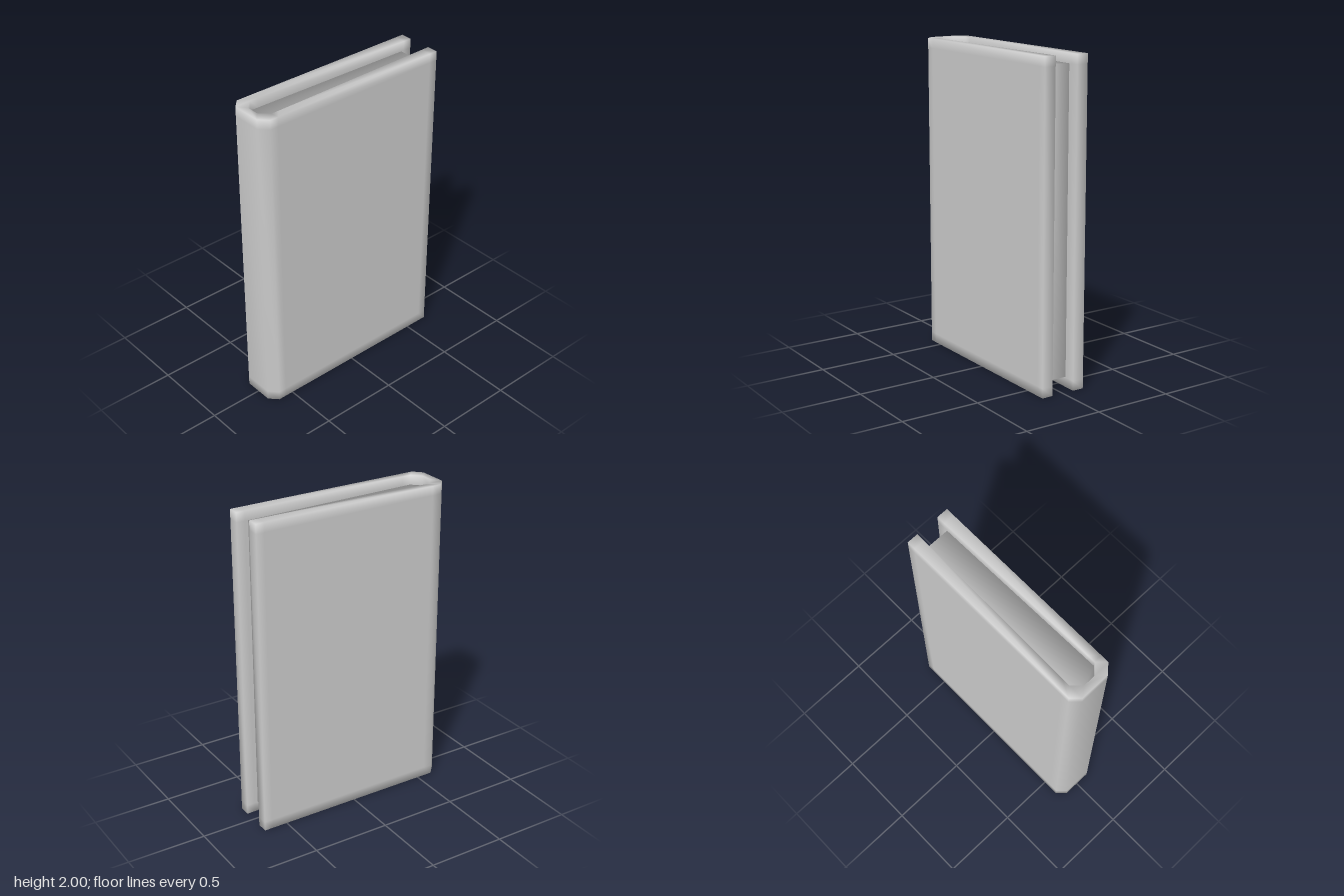
import * as THREE from 'three';

// Solid prism whose section lies between two matching rows of [x, z] points,
// stacked over the given heights, with shared vertices for soft edges.
function prism(outer, inner, heights) {
  const ring = [...outer, ...[...inner].reverse()];
  const n = ring.length, top = (heights.length - 1) * n;
  const pos = [], idx = [];
  const quad = (a, b, c, d) => idx.push(a, b, c, a, c, d);
  heights.forEach((y, j) => {
    for (const [x, z] of ring) pos.push(x, y, z);
    if (j === 0) return;
    const lo = (j - 1) * n, hi = j * n;
    for (let i = 0; i < n; i++) {
      const k = (i + 1) % n;
      quad(lo + i, hi + i, hi + k, lo + k);
    }
  });
  // caps
  for (let i = 0; i < outer.length - 1; i++) {
    const p = n - 1 - i;
    quad(top + i, top + p, top + p - 1, top + i + 1);
    quad(i, i + 1, p - 1, p);
  }
  const g = new THREE.BufferGeometry();
  g.setAttribute('position', new THREE.Float32BufferAttribute(pos, 3));
  g.setIndex(idx);
  g.computeVertexNormals();
  return g;
}

// Completes the front half of a section with its mirror image at the back.
const mirrored = (half) => [...half, ...[...half].reverse().map(([x, z]) => [x, -z])];

export function createModel() {
  const group = new THREE.Group();
  const add = (name, geometry) => {
    const mesh = new THREE.Mesh(geometry, new THREE.MeshStandardMaterial({ color: 0xcccccc }));
    mesh.name = name;
    group.add(mesh);
  };

  // Cover: two boards joined by a spine with chamfered corners; extra rows
  // near the rims keep the soft shading close to the edges.
  const outside = [[0.655, 0.148], [0.6, 0.148], [-0.55, 0.148], [-0.605, 0.148], [-0.655, 0.095]];
  const inside = [[0.655, 0.075], [0.6, 0.076], [-0.5, 0.095], [-0.555, 0.095], [-0.61, 0.04]];
  add('cover', prism(mirrored(outside), mirrored(inside), [0, 0.06, 1.94, 2]));

  // Page block: wedge that fills the cover, set in from its three open edges
  const pages = [[0.58, 0.075], [-0.555, 0.095], [-0.61, 0.04]];
  add('pages', prism(pages, pages.map(([x, z]) => [x, -z]), [0.065, 1.94]));

  return group;
}
